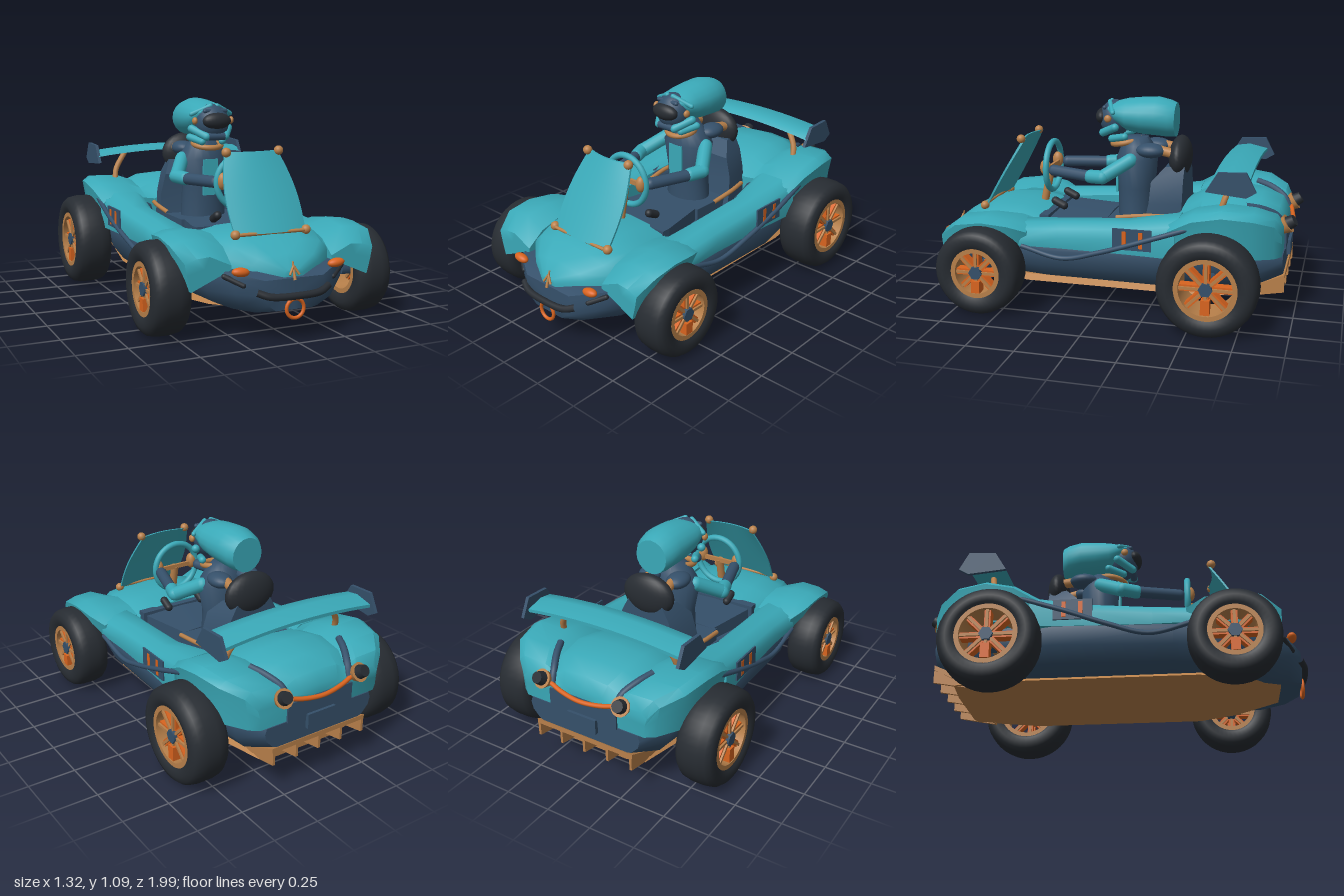
import * as THREE from 'three';
import { toCreasedNormals } from 'three/addons/utils/BufferGeometryUtils.js';

const mat = (name, color) => Object.assign(new THREE.MeshStandardMaterial({ color }), { name });
const V = (x, y, z) => new THREE.Vector3(x, y, z);

export function createModel() {
  const root = new THREE.Group();
  root.name = 'buggy';
  const teal = mat('teal paint', 0x3aa9b8), navy = mat('navy', 0x35506a), tan = mat('tan metal', 0xb8804a),
    orange = mat('orange', 0xd9641f), rubber = mat('rubber', 0x272c32);

  const add = (name, geo, m, x = 0, y = 0, z = 0) => {
    const mesh = new THREE.Mesh(geo, m);
    mesh.name = name;
    mesh.position.set(x, y, z);
    root.add(mesh);
    return mesh;
  };
  const box = (name, m, w, h, d, x, y, z) => add(name, new THREE.BoxGeometry(w, h, d), m, x, y, z);
  const ball = (name, m, rx, ry, rz, x, y, z) =>
    add(name, new THREE.SphereGeometry(1, 24, 16).scale(rx, ry, rz), m, x, y, z);
  const aim = (mesh, a, b) => {
    mesh.position.copy(a).add(b).multiplyScalar(0.5);
    mesh.quaternion.setFromUnitVectors(V(0, 1, 0), b.clone().sub(a).normalize());
    return mesh;
  };
  const rod = (name, m, a, b, r0, r1 = r0, n = 14) =>
    aim(add(name, new THREE.CylinderGeometry(r1, r0, a.distanceTo(b), n), m), a, b);
  const limb = (name, m, a, b, r) =>
    aim(add(name, new THREE.CapsuleGeometry(r, a.distanceTo(b), 6, 14), m), a, b);
  const tube = (name, m, pts, r) =>
    add(name, new THREE.TubeGeometry(new THREE.CatmullRomCurve3(pts), 32, r, 10), m);

  // Skin closed rings of points, cap both ends and turn the faces outward
  const loft = (name, m, rings, crease = 0.7) => {
    const n = rings[0].length, tris = [];
    const mid = r => r.reduce((s, p) => s.add(p), V(0, 0, 0)).divideScalar(n);
    const first = mid(rings[0]), last = mid(rings.at(-1));
    for (let j = 0; j < n; j++) {
      const k = (j + 1) % n;
      for (let i = 0; i + 1 < rings.length; i++) {
        const [a, b, c, d] = [rings[i][j], rings[i][k], rings[i + 1][k], rings[i + 1][j]];
        tris.push([a, b, c], [a, c, d]);
      }
      tris.push([first, rings[0][k], rings[0][j]], [last, rings.at(-1)[j], rings.at(-1)[k]]);
    }
    const vol = tris.reduce((s, [a, b, c]) => s + a.dot(b.clone().cross(c)), 0);
    if (vol < 0) tris.forEach(t => t.reverse());
    const geo = new THREE.BufferGeometry().setFromPoints(tris.flat());
    return add(name, toCreasedNormals(geo, crease), m);
  };
  const mirrorRing = (half, z) => [...half.map(([x, y]) => V(x, y, z)),
    ...half.filter(p => p[0] > 0).reverse().map(([x, y]) => V(-x, y, z))];
  const ellipse = (n, f) => Array.from({ length: n }, (_, i) => f(Math.cos(i / n * 2 * Math.PI), Math.sin(i / n * 2 * Math.PI)));

  // Lower hull: z, half width, bottom, top
  loft('lowerHull', navy, [[0.95, 0.16, 0.15, 0.3], [0.88, 0.28, 0.135, 0.33], [0.76, 0.38, 0.13, 0.34],
    [0.5, 0.42, 0.13, 0.35], [0.3, 0.47, 0.13, 0.36], [-0.3, 0.485, 0.13, 0.38], [-0.55, 0.43, 0.14, 0.39],
    [-0.8, 0.41, 0.16, 0.37], [-0.94, 0.33, 0.22, 0.36]].map(([z, w, b, t]) => mirrorRing(
    [[0, b], [w * 0.6, b], [w * 0.85, b + (t - b) * 0.2], [w * 0.97, b + (t - b) * 0.5], [w, t - 0.03], [w * 0.97, t], [0, t]], z)), 1);

  // Hood with a pointed nose: z, half width, top, bottom
  loft('hood', teal, [[0.36, 0.3, 0.47, 0.33], [0.5, 0.33, 0.495, 0.33], [0.66, 0.33, 0.49, 0.33], [0.78, 0.29, 0.455, 0.33],
    [0.87, 0.18, 0.4, 0.32], [0.94, 0.05, 0.345, 0.3]].map(([z, w, t, b]) => mirrorRing(
    [[0, b], [w, b], [w * 0.97, b + (t - b) * 0.45], [w * 0.8, b + (t - b) * 0.8], [w * 0.45, t - 0.008], [0, t]], z)), 1);

  // Rear deck: z, half width, crown height, skirt bottom
  loft('rearDeck', teal, [[-0.38, 0.5, 0.52, 0.37], [-0.5, 0.525, 0.585, 0.38], [-0.65, 0.53, 0.615, 0.38],
    [-0.8, 0.5, 0.6, 0.37], [-0.9, 0.42, 0.56, 0.36], [-0.935, 0.37, 0.5, 0.36]].map(([z, w, t, b]) => mirrorRing(
    [[0, b], [w * 0.95, b], [w * 0.97, b + (t - b) * 0.5], [w, t - 0.03], [w * 0.92, t], [w * 0.6, t - 0.005],
      [w * 0.45, t - 0.035], [w * 0.3, t - 0.005], [0, t + 0.005]], z)));

  for (const s of [1, -1]) {
    const P = (x, y, z) => V(s * x, y, z);
    const sideRing = (pts, z) => pts.map(([x, y]) => P(x, y, z));

    // Side rails of the cockpit: z, inner edge, outer edge, top
    loft('sideRail', teal, [[0.42, 0.27, 0.48, 0.46], [0.2, 0.28, 0.475, 0.475], [-0.15, 0.29, 0.485, 0.5], [-0.42, 0.25, 0.505, 0.54]]
      .map(([z, i, o, t]) => sideRing([[i, 0.34], [o - 0.005, 0.35], [o, t - 0.07], [o - 0.02, t - 0.025],
        [o - 0.08, t], [i + 0.04, t], [i, t - 0.03]], z)), 0.8);
    loft('cockpitLining', navy, [[-0.1, 0.285, 0.47], [-0.25, 0.25, 0.5], [-0.41, 0.2, 0.515]]
      .map(([z, i, t]) => sideRing([[i, 0.36], [0.3, 0.36], [0.3, t], [i, t - 0.05]], z)));

    // Front fenders: z, outer edge, top, bottom, inner height
    loft('frontFender', teal, [[0.37, 0.48, 0.45, 0.35, 0.44], [0.46, 0.525, 0.485, 0.34, 0.465], [0.6, 0.54, 0.5, 0.33, 0.47],
      [0.74, 0.54, 0.48, 0.29, 0.43], [0.835, 0.505, 0.41, 0.25, 0.36]].map(([z, o, t, b, i]) => sideRing(
      [[0.27, 0.34], [o - 0.03, b], [o - 0.01, (b + t) / 2], [o, t - 0.025], [o - 0.06, t - 0.005], [0.38, t], [0.27, i]], z)), 0.9);

    // Side pipe, number panel and cockpit trim
    tube('sidePipe', navy, [P(0.5, 0.51, -0.48), P(0.505, 0.43, -0.25), P(0.49, 0.35, -0.02), P(0.475, 0.3, 0.18), P(0.475, 0.35, 0.4)], 0.013);
    box('sidePanel', navy, 0.009, 0.11, 0.2, s * 0.497, 0.435, -0.2);
    for (const z of [-0.16, -0.245]) box('panelBar', orange, 0.005, 0.085, 0.022, s * 0.502, 0.435, z);
    tube('cockpitTrim', tan, [P(0.215, 0.49, -0.32), P(0.24, 0.49, -0.2), P(0.235, 0.47, -0.05)], 0.012);

    // Nose fittings
    const lamp = ball('indicator', orange, 0.045, 0.022, 0.025, s * 0.255, 0.34, 0.9);
    lamp.rotation.z = s * 0.1;
    limb('noseVent', rubber, P(0.24, 0.275, 0.9), P(0.315, 0.315, 0.85), 0.013);

    // Tail pipes with dark strips above them
    rod('tailPipe', tan, P(0.23, 0.47, -0.9), P(0.235, 0.505, -0.955), 0.03, 0.05);
    rod('tailPipeTip', rubber, P(0.235, 0.5, -0.945), P(0.24, 0.525, -0.985), 0.038, 0.03);
    tube('tailStrip', navy, [P(0.28, 0.592, -0.74), P(0.245, 0.573, -0.82), P(0.205, 0.53, -0.895), P(0.19, 0.47, -0.93)], 0.018);

    // Wing end plates and struts
    const plate = new THREE.Shape([[-0.56, 0.7], [-0.62, 0.8], [-0.76, 0.806], [-0.81, 0.71], [-0.76, 0.68]]
      .map(([z, y]) => new THREE.Vector2(-z, y)));
    add('wingEndPlate', new THREE.ExtrudeGeometry(plate, { depth: 0.018, bevelEnabled: false })
      .rotateY(Math.PI / 2), navy, s * 0.46 - 0.009);
    tube('wingStrut', tan, [P(0.35, 0.57, -0.62), P(0.335, 0.65, -0.645), P(0.27, 0.75, -0.67)], 0.016);

    // Windscreen knobs
    ball('screenKnob', tan, 0.024, 0.024, 0.024, s * 0.193, 0.475, 0.715);
    ball('screenKnob', tan, 0.024, 0.024, 0.024, s * 0.146, 0.85, 0.51);

    // Driver limbs
    limb('upperArm', teal, P(0.13, 0.76, -0.1), P(0.215, 0.68, 0.03), 0.038);
    limb('elbow', teal, P(0.22, 0.68, 0.03), P(0.195, 0.675, 0.1), 0.037);
    limb('forearm', navy, P(0.19, 0.675, 0.12), P(0.125, 0.68, 0.33), 0.031);
    ball('glove', tan, 0.028, 0.045, 0.03, s * 0.11, 0.69, 0.385);
    limb('shoe', rubber, P(0.11, 0.48, 0.28), P(0.11, 0.505, 0.33), 0.022);
    ball('shoulderPad', navy, 0.06, 0.04, 0.08, s * 0.085, 0.81, -0.2);
    rod('harnessMount', tan, P(0.075, 0.815, -0.24), P(0.085, 0.8, -0.32), 0.026);
    ball('helmetBolt', tan, 0.014, 0.02, 0.02, s * 0.108, 0.975, 0.03);
    limb('chinGuard', teal, P(0.055, 0.89, 0.07), P(0.11, 0.93, -0.01), 0.022);
    limb('jawGuard', teal, P(0.06, 0.86, 0.02), P(0.1, 0.88, -0.06), 0.02);
    limb('browGuard', teal, P(0.02, 1.055, 0.04), P(0.115, 1.01, 0.0), 0.013);

    // Wheels with open rims
    for (const [z, R, rim, outer] of [[0.6, 0.23, 0.125, 0.645], [-0.6, 0.255, 0.15, 0.66]]) {
      const w = outer - 0.45, h = w / 2, wheel = new THREE.Group();
      wheel.name = z > 0 ? 'frontWheel' : 'rearWheel';
      const part = (name, geo, m) => {
        const mesh = new THREE.Mesh(geo, m);
        mesh.name = name;
        wheel.add(mesh);
      };
      const ring = pts => toCreasedNormals(new THREE.LatheGeometry(pts.map(p => new THREE.Vector2(...p)), 40).rotateZ(Math.PI / 2), 0.8);
      const side = [[rim, h * 0.8], [rim + 0.02, h * 0.94], [R * 0.78, h], [R * 0.9, h * 0.9], [R * 0.97, h * 0.7], [R, h * 0.3]];
      part('tyre', ring([...side.map(([r, y]) => [r, -y]), ...side.reverse(), [rim, -h * 0.8]]), rubber);
      const lip = rim - 0.016;
      part('rim', ring([[lip, -h * 0.86], [rim + 0.008, -h * 0.86], [rim + 0.008, h * 0.86], [lip, h * 0.86], [lip, -h * 0.86]]), tan);
      for (let i = 0; i < 8; i++) {
        const turn = i * Math.PI / 4;
        part('spoke', new THREE.BoxGeometry(h * 0.5, rim * 0.85, 0.032).translate(s * h * 0.4, rim * 0.5, 0).rotateX(turn), orange);
        part('spokeRib', new THREE.BoxGeometry(h * 0.7, rim * 0.85, 0.014).translate(s * h * 0.4, rim * 0.5, 0).rotateX(turn), tan);
      }
      part('caliper', new THREE.BoxGeometry(0.04, rim * 0.5, 0.045).translate(s * h * 0.66, -rim * 0.6, 0), orange);
      part('hub', new THREE.CylinderGeometry(0.036, 0.036, w * 0.84, 6).rotateZ(Math.PI / 2), navy);
      wheel.position.set(s * (0.45 + h), R, z);
      root.add(wheel);
    }
  }
  for (const z of [0.6, -0.6]) rod('axle', tan, V(-0.5, 0.25, z), V(0.5, 0.25, z), 0.012);

  // Floor pan with raised edges, and the diffuser
  loft('floorPan', tan, [[0.84, 0.18, 0.125], [0.62, 0.29, 0.1], [0.42, 0.35, 0.092], [-0.5, 0.35, 0.092], [-0.84, 0.29, 0.105]]
    .map(([z, w, b]) => mirrorRing([[0, b], [w * 0.6, b], [w, b + 0.025], [w * 0.9, b + 0.05], [0, b + 0.05]], z)), 0.4);
  loft('diffuser', tan, [[-0.74, 0.11, 0.15], [-0.95, 0.22, 0.245]].map(([z, b, t]) => mirrorRing([[0, b], [0.29, b], [0.29, t], [0, t]], z)));
  const fin = new THREE.Shape([[0.74, 0.11], [0.95, 0.15], [0.95, 0.24], [0.78, 0.16]].map(p => new THREE.Vector2(...p)));
  for (let i = -2; i <= 2; i++)
    add('diffuserFin', new THREE.ExtrudeGeometry(fin, { depth: 0.014, bevelEnabled: false }).rotateY(Math.PI / 2), tan, i * 0.14 - 0.007);

  // Rear trim
  tube('rearTrim', orange, [V(-0.2, 0.485, -0.935), V(-0.12, 0.465, -0.95), V(0, 0.455, -0.962), V(0.12, 0.465, -0.95), V(0.2, 0.485, -0.935)], 0.012);
  box('rearPanel', navy, 0.4, 0.1, 0.02, 0, 0.405, -0.935);
  box('rearPlate', navy, 0.17, 0.08, 0.02, 0, 0.33, -0.95);

  // Front bumper, tow ring and nose ornament
  tube('bumper', rubber, [V(-0.19, 0.245, 0.94), V(-0.13, 0.225, 0.965), V(0, 0.22, 0.975), V(0.13, 0.225, 0.965), V(0.19, 0.245, 0.94)], 0.018);
  add('towRing', new THREE.TorusGeometry(0.046, 0.009, 10, 28), orange, 0, 0.157, 0.96);
  rod('noseOrnament', tan, V(0, 0.29, 0.955), V(0, 0.375, 0.93), 0.008, 0.004);
  for (const s of [1, -1]) rod('noseOrnamentArm', tan, V(s * 0.025, 0.315, 0.95), V(0, 0.355, 0.938), 0.006);

  // Curved windscreen with lower bar
  const screen = new THREE.BoxGeometry(2, 1, 0.012, 12, 8, 1), sp = screen.attributes.position;
  for (let i = 0; i < sp.count; i++) {
    const u = sp.getX(i), v = sp.getY(i) + 0.5;
    const w = 0.193 + 0.025 * Math.sin(Math.PI * v) - 0.045 * v;
    sp.setXYZ(i, u * w, 0.475 + 0.375 * v, 0.735 - 0.215 * v - 0.03 * u * u + sp.getZ(i));
  }
  screen.computeVertexNormals();
  add('windscreen', screen, teal);
  rod('screenBar', tan, V(-0.19, 0.475, 0.725), V(0.19, 0.475, 0.725), 0.009);

  // Arched rear wing
  loft('rearWing', teal, Array.from({ length: 13 }, (_, i) => {
    const x = -0.46 + i * 0.92 / 12, lift = 0.03 * (1 - (x / 0.46) ** 2);
    return [[-0.58, 0.735], [-0.6, 0.757], [-0.67, 0.767], [-0.77, 0.745], [-0.77, 0.728], [-0.67, 0.738]]
      .map(([z, y]) => V(x, y + lift, z));
  }), 1);

  // Steering wheel and column
  add('steeringWheel', new THREE.TorusGeometry(0.135, 0.017, 12, 36), teal, 0, 0.68, 0.375);
  box('steeringSpoke', tan, 0.26, 0.025, 0.015, 0, 0.68, 0.375);
  rod('steeringColumn', tan, V(0, 0.68, 0.385), V(0, 0.47, 0.43), 0.022);
  box('dashboard', navy, 0.5, 0.08, 0.05, 0, 0.42, 0.35);

  // Seat, leg cover and headrest
  box('seatBase', navy, 0.38, 0.08, 0.3, 0, 0.4, -0.12);
  loft('legCover', navy, [[0.02, 0.17], [0.33, 0.23]].map(([z, w]) => mirrorRing([[0, 0.36], [w, 0.36], [w, 0.44], [0, 0.45]], z)));
  loft('seatBack', navy, [[0.36, 0.23, -0.18], [0.55, 0.21, -0.22], [0.66, 0.18, -0.225], [0.735, 0.13, -0.29]]
    .map(([y, w, f]) => [V(w, y, f), V(w * 0.8, y, -0.39), V(-w * 0.8, y, -0.39), V(-w, y, f)]), 0.4);
  ball('headrest', rubber, 0.15, 0.115, 0.06, 0, 0.77, -0.35);

  // Driver torso and head
  loft('torso', navy, [[0.42, 0.13, 0.1], [0.6, 0.12, 0.1], [0.76, 0.15, 0.11], [0.83, 0.1, 0.085], [0.87, 0.06, 0.06]]
    .map(([y, w, d]) => ellipse(20, (c, t) => V(c * w, y, -0.11 + t * d))), 1);
  box('chestPanel', teal, 0.09, 0.2, 0.01, 0, 0.66, -0.005);
  add('collar', new THREE.TorusGeometry(0.078, 0.015, 10, 28).rotateX(Math.PI / 2 + 0.2), tan, 0, 0.84, -0.05);
  ball('face', navy, 0.095, 0.1, 0.085, 0, 0.965, 0.015);
  ball('visor', rubber, 0.082, 0.045, 0.04, 0, 0.975, 0.08);
  limb('chin', navy, V(-0.05, 0.89, 0.07), V(0.05, 0.89, 0.07), 0.021);
  limb('brow', navy, V(-0.06, 1.028, 0.06), V(0.06, 1.028, 0.06), 0.012);
  loft('helmet', teal, [[0.04, 1.02, 0.075, 0.025], [0.0, 1.0, 0.11, 0.06], [-0.06, 0.988, 0.12, 0.088],
    [-0.14, 0.985, 0.124, 0.1], [-0.22, 0.985, 0.122, 0.105], [-0.29, 0.975, 0.11, 0.1], [-0.325, 0.968, 0.09, 0.092]]
    .map(([z, y, w, h]) => ellipse(20, (c, t) => V(c * w, y + t * h, z))), 0.9);

  return root;
}
